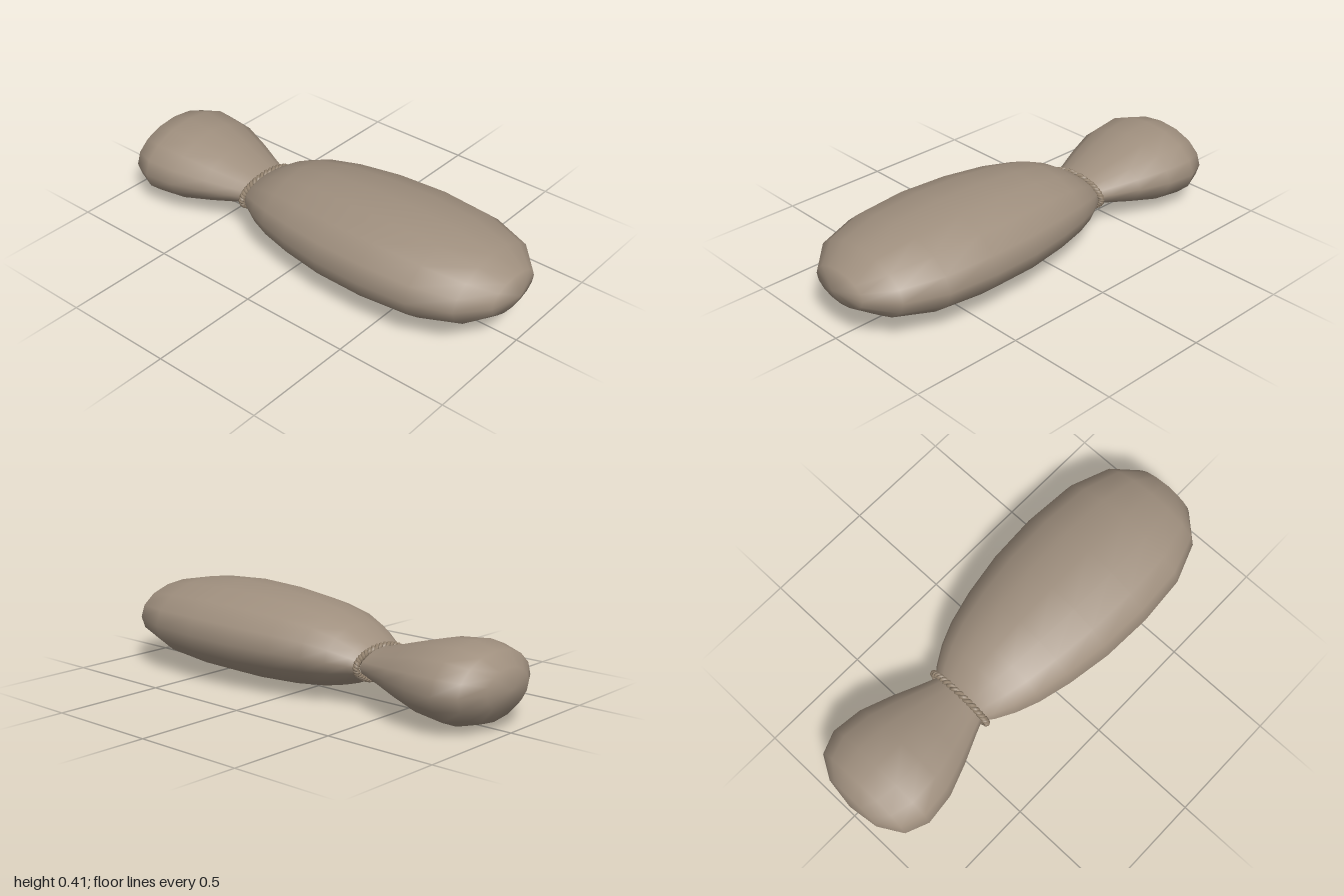
import * as THREE from 'three';

const SIDES = 16;

// Smooth skin over elliptical rings [x, top, bottom, halfWidth]; a zero-width ring is a closed tip.
function loft(rings) {
  const pos = [], index = [], starts = [];
  for (const [x, top, bottom, w] of rings) {
    starts.push(pos.length / 3);
    const count = w === 0 ? 1 : SIDES;
    for (let j = 0; j < count; j++) {
      const a = (j / SIDES) * Math.PI * 2;
      pos.push(x, (top + bottom) / 2 + (top - bottom) / 2 * Math.cos(a), w * Math.sin(a));
    }
  }
  const id = (i, j) => starts[i] + (rings[i][3] === 0 ? 0 : j % SIDES);
  for (let i = 0; i < rings.length - 1; i++) {
    for (let j = 0; j < SIDES; j++) {
      const a = id(i, j), b = id(i, j + 1), c = id(i + 1, j), d = id(i + 1, j + 1);
      if (a !== b) index.push(a, b, c);
      if (c !== d) index.push(b, d, c);
    }
  }
  const g = new THREE.BufferGeometry();
  g.setAttribute('position', new THREE.Float32BufferAttribute(pos, 3));
  g.setIndex(index);
  g.computeVertexNormals();
  return g;
}

// One strand winding around the flattened neck loop.
function strand(phase) {
  const pts = [], n = 160, twists = 20;
  for (let i = 0; i < n; i++) {
    const a = (i / n) * Math.PI * 2, t = a * twists + phase;
    const r = 0.007 * Math.cos(t);
    pts.push(new THREE.Vector3(
      -0.347 + 0.007 * Math.sin(t),
      0.172 + (0.066 + r) * Math.cos(a),
      (0.158 + r) * Math.sin(a)));
  }
  return new THREE.TubeGeometry(new THREE.CatmullRomCurve3(pts, true), 240, 0.009, 6, true);
}

export function createModel() {
  const model = new THREE.Group();
  model.name = 'tiedSack';
  const cloth = new THREE.MeshStandardMaterial({ color: 0x9f8f7e });
  cloth.name = 'cloth';
  const cord = new THREE.MeshStandardMaterial({ color: 0x94836f });
  cord.name = 'cord';

  const add = (name, geometry, material, parent = model) => {
    const mesh = new THREE.Mesh(geometry, material);
    mesh.name = name;
    parent.add(mesh);
  };

  // Long stuffed side
  add('largeLobe', loft([
    [-0.347, 0.235, 0.108, 0.145],
    [-0.31, 0.265, 0.09, 0.175],
    [-0.23, 0.317, 0.058, 0.222],
    [-0.13, 0.357, 0.036, 0.263],
    [0.02, 0.386, 0.02, 0.302],
    [0.22, 0.405, 0.012, 0.335],
    [0.45, 0.412, 0.018, 0.346],
    [0.68, 0.397, 0.04, 0.329],
    [0.86, 0.36, 0.085, 0.262],
    [0.965, 0.3, 0.15, 0.147],
    [1, 0.225, 0.225, 0],
  ]), cloth);

  // Short flared side
  add('smallLobe', loft([
    [-1, 0.175, 0.175, 0],
    [-0.98, 0.26, 0.09, 0.142],
    [-0.92, 0.316, 0.03, 0.245],
    [-0.82, 0.342, 0.002, 0.286],
    [-0.68, 0.328, 0.02, 0.27],
    [-0.54, 0.289, 0.057, 0.218],
    [-0.42, 0.253, 0.091, 0.165],
    [-0.347, 0.235, 0.108, 0.135],
  ]), cloth);

  // Twisted cord around the neck
  const tie = new THREE.Group();
  tie.name = 'tie';
  for (let k = 0; k < 2; k++) add('strand' + (k + 1), strand(k * Math.PI), cord, tie);
  model.add(tie);

  return model;
}
